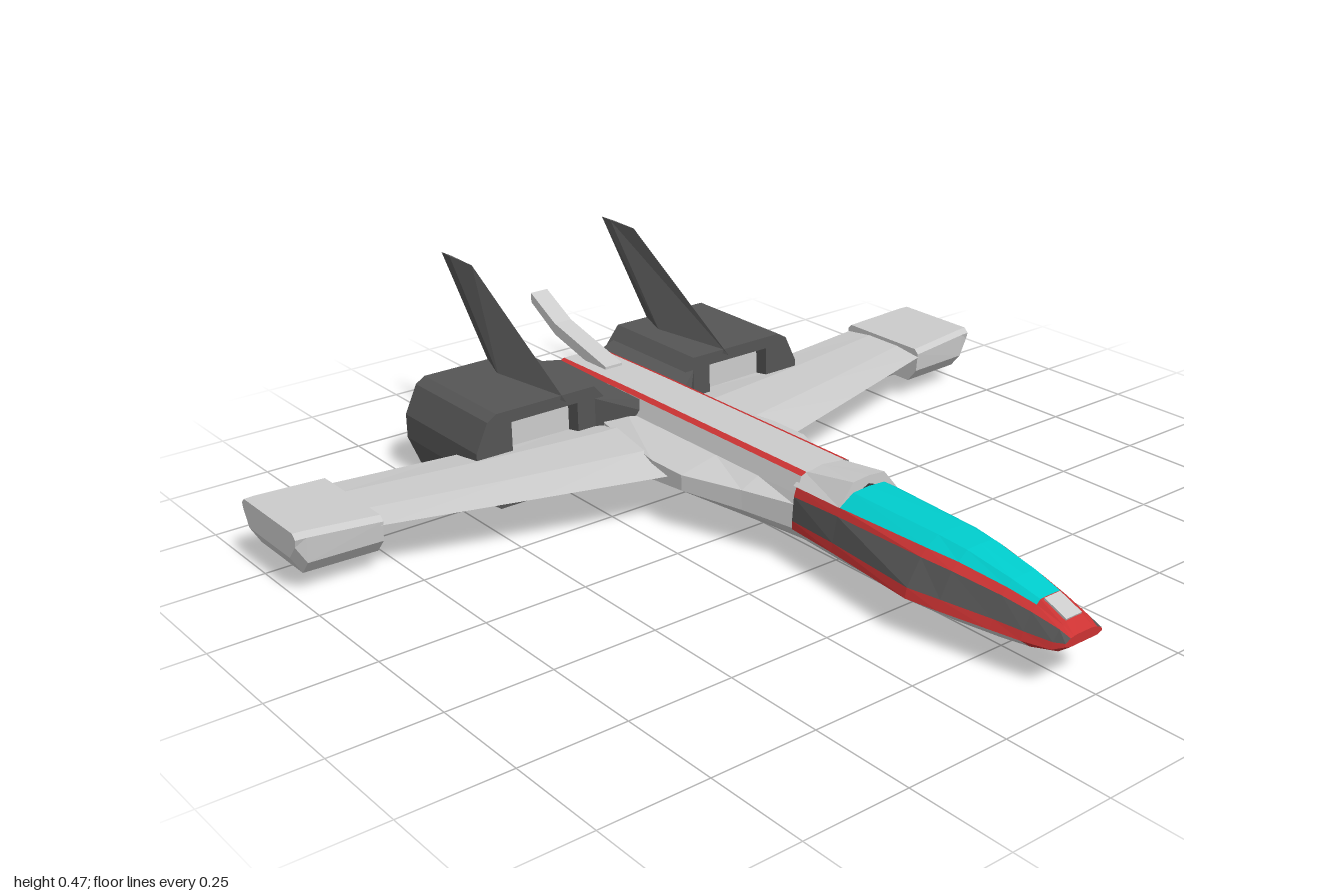
import * as THREE from 'three';

const mat = (color) => new THREE.MeshStandardMaterial({ color, flatShading: true, side: THREE.DoubleSide });

// Surface through rows of [x, y, z] points; flip reverses the winding
function skin(rows, flip = false) {
  const pos = [];
  for (let i = 0; i + 1 < rows.length; i++) {
    for (let j = 0; j + 1 < rows[i].length; j++) {
      const a = rows[i][j], b = rows[i][j + 1], c = rows[i + 1][j + 1], d = rows[i + 1][j];
      const tris = flip ? [a, c, b, a, d, c] : [a, b, c, a, c, d];
      tris.forEach((p) => pos.push(...p));
    }
  }
  const g = new THREE.BufferGeometry();
  g.setAttribute('position', new THREE.Float32BufferAttribute(pos, 3));
  g.computeVertexNormals();
  return g;
}

// Closed solid through rings, with both ends capped to their centres
function solid(rings, flip) {
  const centre = (r) => [0, 1, 2].map((k) => r.reduce((s, p) => s + p[k], 0) / r.length);
  const rows = rings.map((r) => [...r, r[0]]);
  const cap = (r) => r.map(() => centre(r.slice(0, -1)));
  return skin([cap(rows[0]), ...rows, cap(rows[rows.length - 1])], flip);
}

const mirror = (rows, s) => rows.map((r) => r.map(([x, y, z]) => [x, y, z * s]));

export function createModel() {
  const model = new THREE.Group();
  const grey = mat(0xcccccc), dark = mat(0x555555), red = mat(0xcc3333), teal = mat(0x00cccc);
  const add = (name, geometry, material) => {
    const m = new THREE.Mesh(geometry, material);
    m.name = name;
    model.add(m);
    return m;
  };
  // Lengthwise bands between neighbouring profile points, on both sides
  const bands = (stations, list) => {
    list.forEach(([name, material, from, to, first = 0, last = stations.length - 1]) => {
      for (const s of [1, -1]) {
        const rows = stations.slice(first, last + 1).map(([x, pts]) =>
          pts.slice(from, to + 1).map(([y, z]) => [x, y, z * s]));
        add(name, skin(rows, s > 0), material);
      }
    });
  };
  // Closes a station's half profile on both sides
  const endCap = (name, [x, pts], material, flip) => {
    const mid = pts.reduce((s, p) => s + p[0], 0) / pts.length;
    for (const s of [1, -1]) {
      add(name, skin([pts.map(([y, z]) => [x, y, z * s]), pts.map(() => [x, mid, 0])], flip === s > 0), material);
    }
  };

  // Nose: half profiles of [y, z] from top centre to bottom centre
  const nose = [
    [0.21, [[0.215, 0], [0.212, 0.05], [0.187, 0.083], [0.166, 0.09], [0.11, 0.095], [0.09, 0.095], [0.055, 0.06], [0.055, 0]]],
    [0.35, [[0.215, 0], [0.212, 0.045], [0.188, 0.083], [0.17, 0.09], [0.112, 0.103], [0.09, 0.105], [0.052, 0.065], [0.052, 0]]],
    [0.60, [[0.208, 0], [0.206, 0.04], [0.186, 0.072], [0.17, 0.088], [0.113, 0.125], [0.09, 0.13], [0.05, 0.07], [0.05, 0]]],
    [0.68, [[0.203, 0], [0.201, 0.038], [0.182, 0.062], [0.167, 0.08], [0.113, 0.11], [0.09, 0.117], [0.052, 0.066], [0.052, 0]]],
    [0.80, [[0.182, 0], [0.181, 0.033], [0.168, 0.047], [0.155, 0.062], [0.111, 0.085], [0.09, 0.093], [0.06, 0.057], [0.06, 0]]],
    [0.87, [[0.165, 0], [0.164, 0.028], [0.155, 0.038], [0.144, 0.052], [0.109, 0.073], [0.09, 0.079], [0.067, 0.05], [0.067, 0]]],
    [0.935, [[0.14, 0], [0.139, 0.024], [0.135, 0.032], [0.13, 0.043], [0.108, 0.06], [0.093, 0.064], [0.082, 0.043], [0.082, 0]]],
    [0.96, [[0.122, 0], [0.122, 0.02], [0.121, 0.028], [0.119, 0.038], [0.112, 0.052], [0.105, 0.054], [0.1, 0.04], [0.1, 0]]],
  ];
  bands(nose, [
    ['canopy', teal, 0, 2, 1, 5],
    ['noseTop', red, 0, 2, 5, 7],
    ['upperNoseStripe', red, 2, 3],
    ['noseSide', dark, 3, 4],
    ['lowerNoseStripe', red, 4, 5],
    ['noseBelly', grey, 5, 7, 0, 5],
    ['noseChin', red, 5, 7, 5, 7],
  ]);
  endCap('noseTip', nose[7], red, true);
  const sensor = add('nosePanel', new THREE.BoxGeometry(0.062, 0.006, 0.045), grey);
  sensor.position.set(0.903, 0.153, 0);
  sensor.rotation.z = -0.37;

  // Raised fairing behind the canopy
  const fairing = [
    [0.2, [[0.215, 0], [0.213, 0.052], [0.187, 0.083]]],
    [0.35, [[0.24, 0], [0.236, 0.045], [0.188, 0.084]]],
  ];
  bands(fairing, [['canopyFairing', grey, 0, 2]]);
  endCap('fairingFront', fairing[1], grey, true);

  // Fuselage: flat spine with red edges, side strakes flaring to the wing
  const hullStation = (x, edge, low, top, bottom, w) => [x, [
    [top, 0], [top, 0.054], [top - 0.006, 0.069], [0.17, 0.083 * w],
    [0.148, edge], [low, edge], [bottom, 0.06 * w], [bottom, 0]]];
  const hull = [
    hullStation(-0.72, 0.07, 0.1, 0.212, 0.07, 0.85),
    hullStation(-0.42, 0.14, 0.095, 0.215, 0.042, 1),
    hullStation(-0.18, 0.183, 0.1, 0.215, 0.04, 1),
    hullStation(-0.07, 0.183, 0.11, 0.215, 0.04, 1),
    hullStation(0.08, 0.13, 0.1, 0.215, 0.045, 1),
    hullStation(0.21, 0.09, 0.09, 0.215, 0.055, 1),
  ];
  bands(hull, [
    ['spine', grey, 0, 1],
    ['spineStripe', red, 1, 2],
    ['fuselageSide', grey, 2, 5],
    ['fuselageBelly', grey, 5, 7],
  ]);
  endCap('fuselageRear', hull[0], grey, false);

  // Central tail boom, rising to the rear
  const boom = [[-0.905, 0.33, 0.305], [-0.8, 0.275, 0.245], [-0.58, 0.22, 0.19]].map(([x, t, b]) =>
    [[x, t, -0.025], [x, t, 0.025], [x, b, 0.025], [x, b, -0.025]]);
  add('tailBoom', solid(boom), grey);

  for (const s of [1, -1]) {
    const flip = s > 0;

    // Wing: thin six-sided sections from root to tip
    const section = (z, x0, x1, y0, y1) => {
      const c = x1 - x0, m = (y0 + y1) / 2;
      return [[x0, m, z], [x0 + c * 0.3, y1, z], [x0 + c * 0.7, y1, z],
        [x1, m, z], [x0 + c * 0.7, y0, z], [x0 + c * 0.3, y0, z]];
    };
    const wing = [
      section(0.06, -0.5, -0.08, 0.1, 0.155),
      section(0.183, -0.5, -0.12, 0.105, 0.15),
      section(0.48, -0.54, -0.215, 0.11, 0.14),
      section(0.81, -0.59, -0.32, 0.113, 0.133)];
    add('wing', solid(mirror(wing, s), flip), grey);

    // Wingtip pod with chamfered lower edges
    const podRing = (z, x0, x1, y0, y1) => [
      [x0, y1 - 0.012, z], [x0 + 0.012, y1, z], [x1 - 0.012, y1, z], [x1, y1 - 0.012, z],
      [x1 - 0.005, y0 + 0.035, z], [x1 - 0.035, y0, z], [x0 + 0.025, y0, z], [x0 + 0.005, y0 + 0.035, z]];
    const pod = [podRing(0.8, -0.592, -0.318, 0.048, 0.143),
      podRing(0.975, -0.582, -0.328, 0.047, 0.155),
      podRing(1.0, -0.58, -0.33, 0.09, 0.155)];
    add('wingtipPod', solid(mirror(pod, s), flip), grey);

    // Engine: faceted nacelle with a rectangular duct
    const outline = [[0.13, 0], [0.425, 0], [0.452, 0.02], [0.483, 0.095], [0.483, 0.155],
      [0.45, 0.225], [0.425, 0.24], [0.15, 0.24], [0.105, 0.185], [0.095, 0.05]];
    const duct = [[0.2, 0.055], [0.385, 0.055], [0.385, 0.21], [0.2, 0.21]];
    const points = (list) => list.map(([z, y]) => new THREE.Vector2(-z * s, y));
    const shape = new THREE.Shape(points(outline));
    shape.holes.push(new THREE.Path(points(duct)));
    const nacelle = new THREE.ExtrudeGeometry(shape, { depth: 0.32, bevelEnabled: false });
    nacelle.rotateY(Math.PI / 2).translate(-0.77, 0, 0);
    add('engineNacelle', nacelle, dark);
    const core = add('engineCore', new THREE.BoxGeometry(0.24, 0.155, 0.185), grey);
    core.position.set(-0.61, 0.1325, 0.2925 * s);

    // Pylon joining engine to fuselage
    const pylonRing = (y, grow) => [[-0.35 - grow, y, 0.06], [-0.45, y, 0.15],
      [-0.77, y, 0.15], [-0.72, y, 0.06]];
    const pylon = [pylonRing(0.035, 0.04), pylonRing(0.07, 0), pylonRing(0.18, 0), pylonRing(0.208, 0.02)];
    add('enginePylon', solid(mirror(pylon, s), flip), dark);

    // Swept tail fin, diamond shaped and tapering to a thin tip
    const finRing = (y, back, front, w) => [[back, y, 0.245], [back + (front - back) * 0.3, y, 0.245 + w],
      [front, y, 0.245], [back + (front - back) * 0.3, y, 0.245 - w]];
    const fin = [finRing(0.23, -0.765, -0.43, 0.036), finRing(0.47, -0.962, -0.82, 0.003)];
    add('tailFin', solid(mirror(fin, s), flip), dark);
  }
  return model;
}
